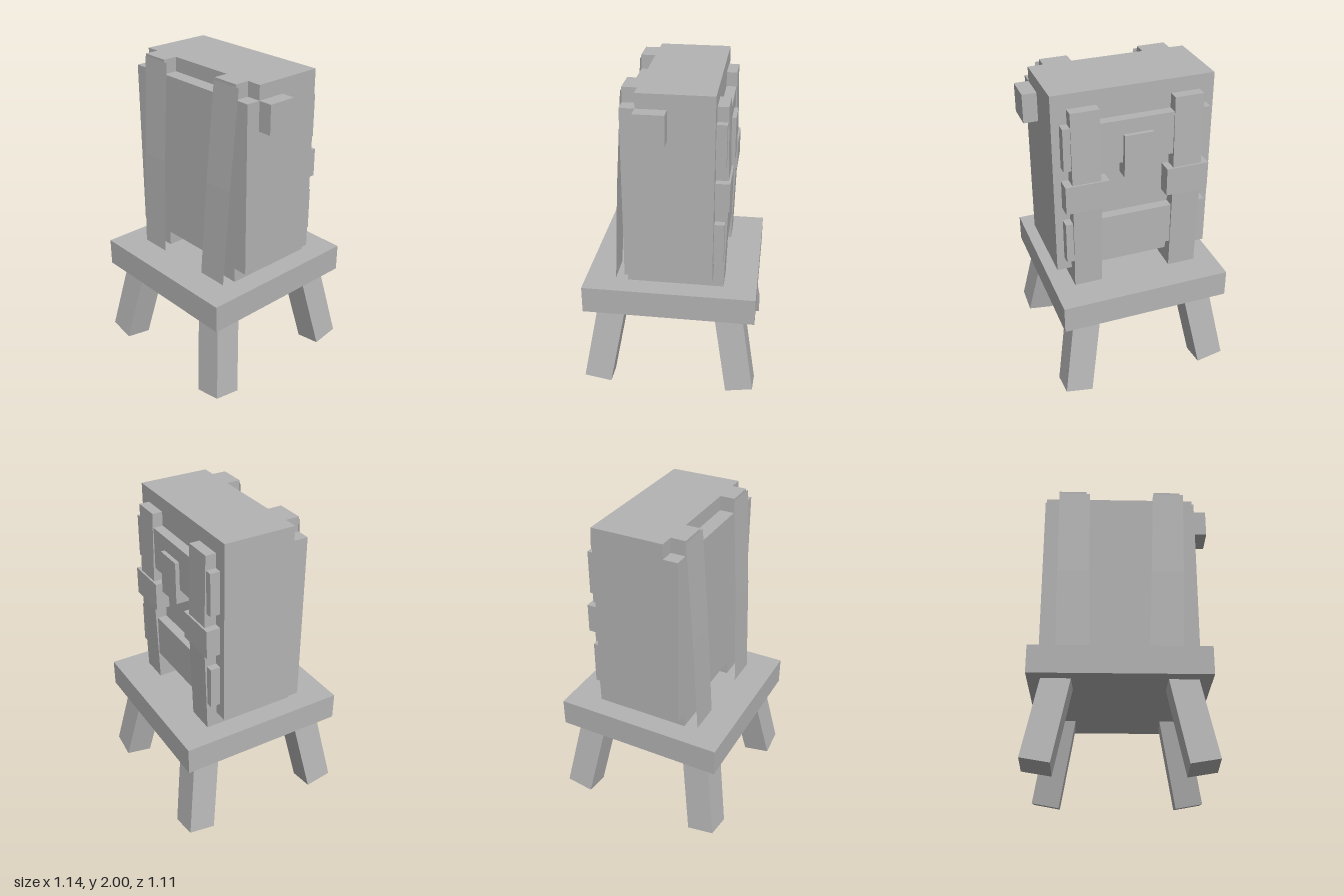
import * as THREE from 'three';

const grey = new THREE.MeshStandardMaterial({ color: 0xb3b3b3 });
grey.name = 'plain grey';
const greySheet = new THREE.MeshStandardMaterial({ color: 0xb3b3b3, side: THREE.DoubleSide });
greySheet.name = 'plain grey sheet';

export function createModel() {
  const model = new THREE.Group();
  model.name = 'backpackOnStool';

  const add = (name, geometry, material = grey) => {
    const mesh = new THREE.Mesh(geometry, material);
    mesh.name = name;
    model.add(mesh);
    return mesh;
  };
  // Box given by its extents on each axis
  const box = (name, [x0, x1], [y0, y1], [z0, z1]) => {
    const g = new THREE.BoxGeometry(x1 - x0, y1 - y0, z1 - z0);
    g.translate((x0 + x1) / 2, (y0 + y1) / 2, (z0 + z1) / 2);
    return add(name, g);
  };

  // Stool: seat and four splayed legs
  box('seat', [-0.56, 0.52], [0.56, 0.735], [-0.54, 0.54]);
  for (const sx of [-1, 1]) {
    for (const sz of [-1, 1]) {
      const g = new THREE.BoxGeometry(0.175, 0.58, 0.175).translate(0, 0.29, 0);
      const leg = add(sz > 0 ? 'frontLeg' : 'backLeg', g);
      leg.position.set(-0.02 + sx * 0.464, 0.032, sz * 0.464);
      leg.rotation.set(-sz * 0.175, 0, sx * 0.175);
    }
  }

  // Pack body with a lower front edge
  box('packBody', [-0.515, 0.478], [0.83, 2], [-0.27, 0.18]);
  box('packFront', [-0.515, 0.478], [0.83, 1.91], [0.18, 0.27]);
  box('sideKnob', [0.478, 0.567], [1.73, 1.91], [0, 0.18]);

  // Belts looping round the pack, drawn as a side profile (z, y)
  const profile = new THREE.Shape([
    [0.27, 0.735], [0.27, 2], [0.18, 2], [0.18, 1.91],
    [-0.335, 1.91], [-0.349, 1.33], [-0.333, 0.735],
  ].map(([z, y]) => new THREE.Vector2(z, y)));
  for (const [x0, x1] of [[-0.425, -0.245], [0.21, 0.385]]) {
    const g = new THREE.ExtrudeGeometry(profile, { depth: x1 - x0, bevelEnabled: false });
    g.rotateY(-Math.PI / 2).translate(x1, 0, 0);
    add('belt', g);
  }

  // Loose shoulder straps: thin sheets leaning forward to the seat
  const strap = (rows) => {
    const g = new THREE.PlaneGeometry(1, 1, 1, rows.length - 1);
    rows.forEach(([x0, x1, y, z], i) => {
      g.attributes.position.setXYZ(i * 2, x0, y, z);
      g.attributes.position.setXYZ(i * 2 + 1, x1, y, z);
    });
    const flat = g.toNonIndexed();
    flat.computeVertexNormals();
    add('shoulderStrap', flat, greySheet);
  };
  strap([[-0.425, -0.22, 1.985, 0.272], [-0.417, -0.212, 1.36, 0.317], [-0.405, -0.2, 0.735, 0.35]]);
  strap([[0.205, 0.41, 1.985, 0.272], [0.185, 0.39, 1.36, 0.317], [0.162, 0.367, 0.735, 0.35]]);

  // Back panels, buckles and centre patch
  for (const y of [0.92, 1.55]) box('backPanel', [-0.47, 0.43], [y, y + 0.27], [-0.332, -0.26]);
  for (const x of [-0.47, 0.163]) box('buckle', [x, x + 0.268], [1.28, 1.46], [-0.358, -0.26]);
  box('backPatch', [-0.11, 0.07], [1.46, 1.73], [-0.358, -0.26]);

  return model;
}
